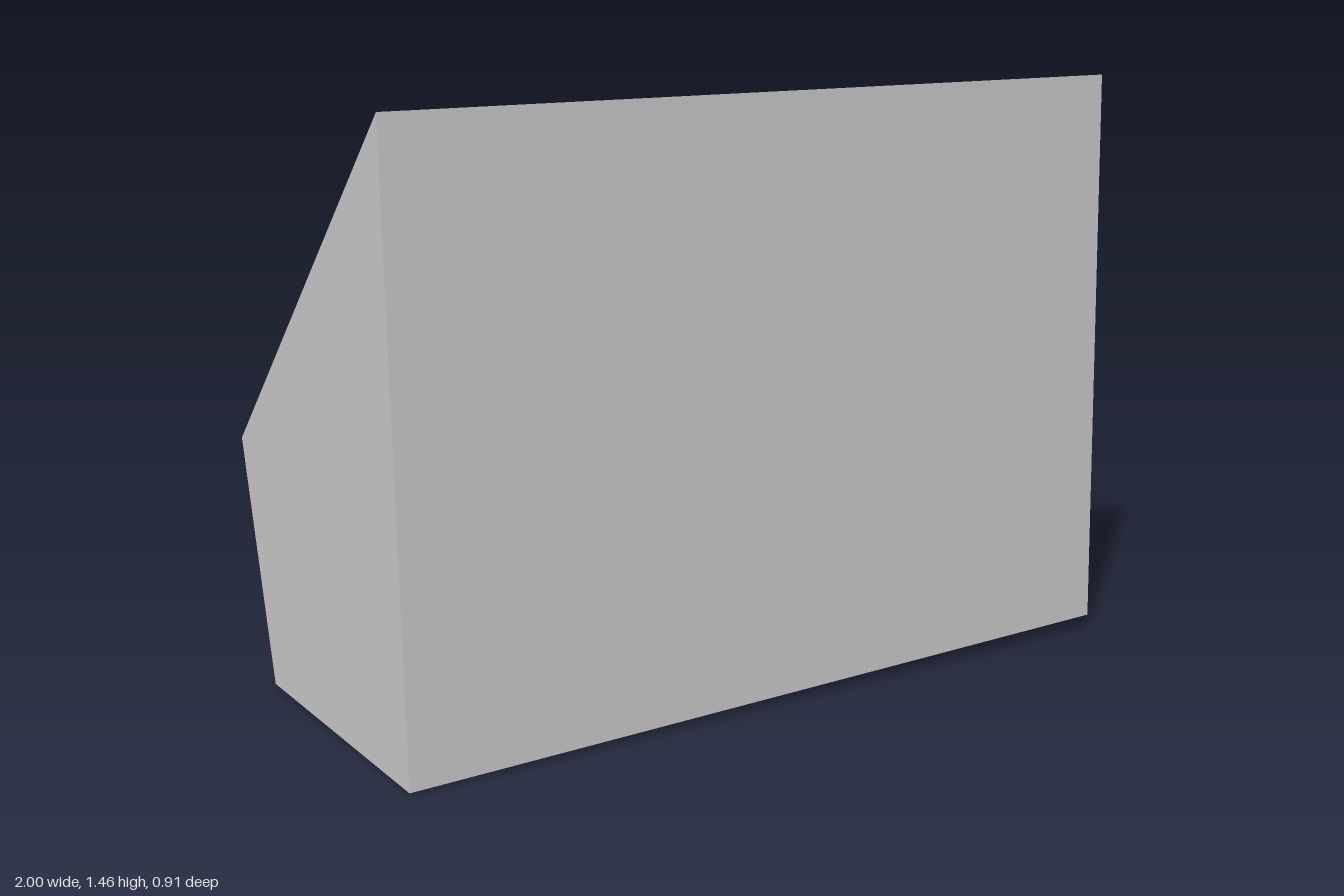
import * as THREE from 'three';

const material = new THREE.MeshStandardMaterial({ color: 0xcccccc, flatShading: true });
const WIDTH = 1.98, SLOPE = 1.231, DEPTH = 0.018;

function add(parent, name, geometry, x = 0, y = 0, z = 0) {
  const mesh = new THREE.Mesh(geometry, material);
  mesh.name = name;
  mesh.position.set(x, y, z);
  parent.add(mesh);
  return mesh;
}

function rectangle(PathType, x0, x1, s0, s1) {
  return new PathType().moveTo(x0, s0).lineTo(x1, s0).lineTo(x1, s1).lineTo(x0, s1).closePath();
}

// Side profile as [z, y]; its slope lies below the panel by the recess depth
function bodyGeometry() {
  const profile = [
    [0.46, 0.02], [0.445, 1.45 - 1.368 * DEPTH],
    [-0.455 + 0.255 * DEPTH, 0.61 - 1.13 * DEPTH], [-0.32, 0.013],
  ];
  const shape = new THREE.Shape(profile.map(([z, y]) => new THREE.Vector2(-z, y)));
  return new THREE.ExtrudeGeometry(shape, { depth: WIDTH, bevelEnabled: false })
    .rotateY(Math.PI / 2).translate(-WIDTH / 2, 0, 0);
}

// Sloped plate with openings; end edges follow the front and back walls
function panelGeometry(openings) {
  const plate = rectangle(THREE.Shape, -WIDTH / 2, WIDTH / 2, -SLOPE / 2, SLOPE / 2);
  plate.holes = openings.map((o) => rectangle(THREE.Path, ...o));
  const geometry = new THREE.ExtrudeGeometry(plate, { depth: DEPTH, bevelEnabled: false });
  geometry.rotateX(Math.PI / 2);
  const p = geometry.attributes.position;
  for (let i = 0; i < p.count; i++) {
    const s = p.getZ(i);
    if (p.getY(i) < -DEPTH / 2 && Math.abs(s) > 0.61) p.setZ(i, s - (s > 0 ? 0.933 : 0.584) * DEPTH);
  }
  geometry.computeVertexNormals();
  return geometry;
}

// Box whose upper face is shorter and narrower than its base
function ridgeGeometry(length, width, height, topLength, topWidth) {
  const geometry = new THREE.BoxGeometry(length, height, width).translate(0, height / 2, 0);
  const p = geometry.attributes.position;
  for (let i = 0; i < p.count; i++) {
    if (p.getY(i) > height / 2) {
      p.setX(i, Math.sign(p.getX(i)) * topLength / 2);
      p.setZ(i, Math.sign(p.getZ(i)) * topWidth / 2);
    }
  }
  geometry.computeVertexNormals();
  return geometry;
}

export function createModel() {
  const model = new THREE.Group();
  model.name = 'controlConsole';

  // The whole console leans very slightly sideways
  const lean = new THREE.Group();
  lean.name = 'console';
  lean.position.y = 0.735;
  lean.rotation.z = 0.0138;
  model.add(lean);
  const upright = new THREE.Group();
  upright.name = 'housing';
  upright.position.y = -0.735;
  lean.add(upright);

  add(upright, 'body', bodyGeometry());

  // Panel frame: y points out of the slope, z runs up it
  const panel = new THREE.Group();
  panel.name = 'controlPanel';
  panel.position.set(0, 1.03, -0.005);
  panel.rotation.x = -Math.atan2(0.84, 0.9);
  upright.add(panel);

  // Four small screens and one large screen, all recessed
  const openings = [[0.055, 0.935, -0.561, -0.068]];
  for (const [x0, x1] of [[-0.97, -0.517], [-0.475, -0.02]]) {
    for (const [s0, s1] of [[-0.602, -0.342], [-0.294, -0.027]]) openings.push([x0, x1, s0, s1]);
  }
  add(panel, 'panelPlate', panelGeometry(openings));

  // Bevelled divider ridges
  add(panel, 'wideRidge', ridgeGeometry(0.975, 0.14, 0.027, 0.73, 0.082), -0.5, 0, 0.046);
  add(panel, 'narrowRidge', ridgeGeometry(0.92, 0.072, 0.02, 0.69, 0.04), -0.505, 0, 0.422);

  // Round knob
  add(panel, 'knob', new THREE.CylinderGeometry(0.083, 0.083, 0.06, 32), -0.495, 0.03, 0.232);

  // Thin bars along the upper edge
  for (const x of [-0.677, -0.327]) {
    add(panel, 'bar', new THREE.BoxGeometry(0.295, 0.022, 0.027), x, 0.011, 0.548);
  }

  // Flat square buttons in two rows
  for (const s of [0.174, 0.423]) {
    for (const x of [0.077, 0.407, 0.737]) {
      add(panel, 'button', new THREE.BoxGeometry(0.165, 0.018, 0.13), x, 0.009, s);
    }
  }

  // Tilted buttons between the rows
  for (const x of [0.242, 0.572]) {
    const button = add(panel, 'tiltedButton', new THREE.BoxGeometry(0.155, 0.03, 0.125), x, 0.008, 0.299);
    button.rotation.x = 0.1;
  }
  return model;
}
